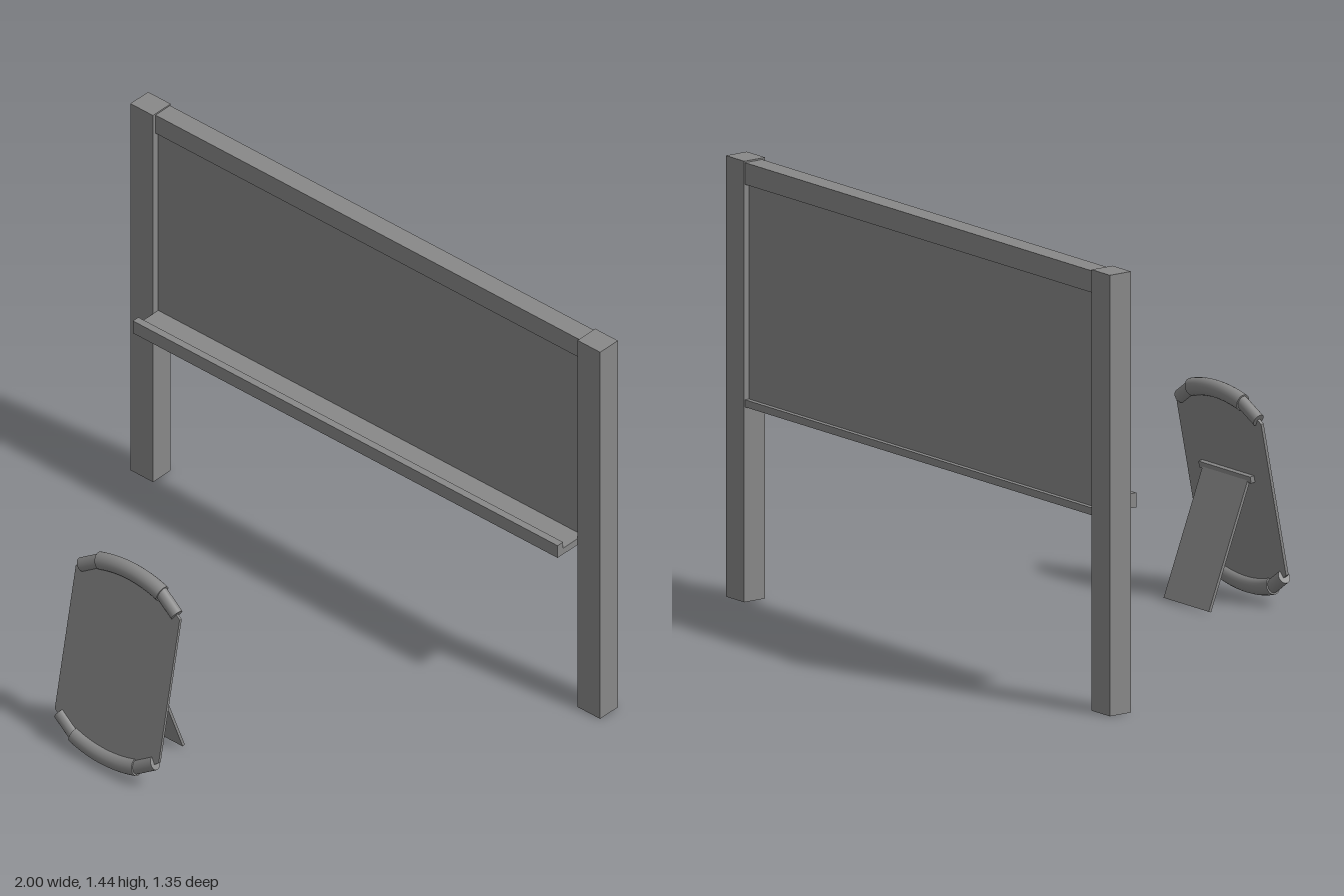
import * as THREE from 'three';

const material = new THREE.MeshStandardMaterial({ color: 0x888888 });

function add(parent, name, geometry, x = 0, y = 0, z = 0) {
  const mesh = new THREE.Mesh(geometry, material);
  mesh.name = name;
  mesh.position.set(x, y, z);
  parent.add(mesh);
  return mesh;
}

// Box given by its lower and upper limits
function box(parent, name, x0, x1, y0, y1, z0, z1) {
  return add(parent, name, new THREE.BoxGeometry(x1 - x0, y1 - y0, z1 - z0),
    (x0 + x1) / 2, (y0 + y1) / 2, (z0 + z1) / 2);
}

// Large board between two posts, with a tray along its lower edge
function createBoard() {
  const board = new THREE.Group();
  board.name = 'wallBoard';
  const w = 0.904;
  box(board, 'leftPost', w, 1, 0, 1.44, -0.672, -0.588);
  box(board, 'rightPost', -1, -w, 0, 1.44, -0.672, -0.588);
  box(board, 'topRail', -w, w, 1.364, 1.435, -0.669, -0.6);
  box(board, 'boardPanel', -w, w, 0.65, 1.37, -0.653, -0.613);
  box(board, 'trayShelf', -w, w, 0.637, 0.661, -0.669, -0.493);
  box(board, 'trayLip', -w, w, 0.661, 0.685, -0.519, -0.493);
  return board;
}

// Thick curved bar with a thinner straight bar on each side
function createGrip() {
  const grip = new THREE.Group();
  const top = 0.334, R = 0.45, a = 0.3, r = 0.029;
  const bar = add(grip, 'gripBar', new THREE.TorusGeometry(R, r, 20, 24, 2 * a), 0, top - R, 0);
  bar.rotation.z = Math.PI / 2 - a;
  for (const s of [-1, 1]) {
    const cap = add(grip, 'gripBarEnd', new THREE.CircleGeometry(r, 20),
      s * R * Math.sin(a), top - R + R * Math.cos(a), 0);
    cap.rotation.set(0, s * Math.PI / 2, -s * a, 'ZYX');

    const from = new THREE.Vector3(s * 0.12, 0.322, 0);
    const to = new THREE.Vector3(s * 0.203, 0.268, 0);
    const end = add(grip, 'gripEnd', new THREE.CylinderGeometry(0.023, 0.023, from.distanceTo(to), 20));
    end.position.copy(from).lerp(to, 0.5);
    end.quaternion.setFromUnitVectors(new THREE.Vector3(0, 1, 0), to.sub(from).normalize());
  }
  grip.scale.z = 0.87;
  return grip;
}

// Small tilted panel held up by a hinged leg
function createEasel() {
  const easel = new THREE.Group();
  easel.name = 'easel';

  const tilted = new THREE.Group();
  tilted.name = 'tiltedPanel';
  tilted.position.set(0, 0.367, 0.585);
  tilted.rotation.x = -0.194;
  easel.add(tilted);

  // Panel with straight sides and curved ends
  const half = 0.221, t = 0.01, R = 0.363, shift = 0.029;
  const a0 = Math.acos(half / R);
  const outline = new THREE.Shape();
  outline.absarc(0, -shift, R, a0, Math.PI - a0, false);
  outline.absarc(0, shift, R, Math.PI + a0, 2 * Math.PI - a0, false);
  outline.closePath();
  add(tilted, 'panel', new THREE.ExtrudeGeometry(outline,
    { depth: t, bevelEnabled: false, curveSegments: 20 }), 0, 0, -t / 2);

  const topGrip = createGrip();
  topGrip.name = 'topGrip';
  const bottomGrip = createGrip();
  bottomGrip.name = 'bottomGrip';
  bottomGrip.rotation.z = Math.PI;
  tilted.add(topGrip, bottomGrip);

  // Hinge block and leg behind the panel
  box(tilted, 'hinge', -0.135, 0.135, 0.044, 0.066, -0.02, -0.004);
  const dy = 0.415, dz = 0.159;
  const leg = add(easel, 'backLeg', new THREE.BoxGeometry(0.235, Math.hypot(dy, dz), 0.01),
    0, 0.42 - dy / 2 + 0.001, 0.564 - dz / 2);
  leg.rotation.x = Math.atan2(dz, dy);
  return easel;
}

export function createModel() {
  const model = new THREE.Group();
  model.name = 'boardAndEasel';
  model.add(createBoard(), createEasel());
  return model;
}
